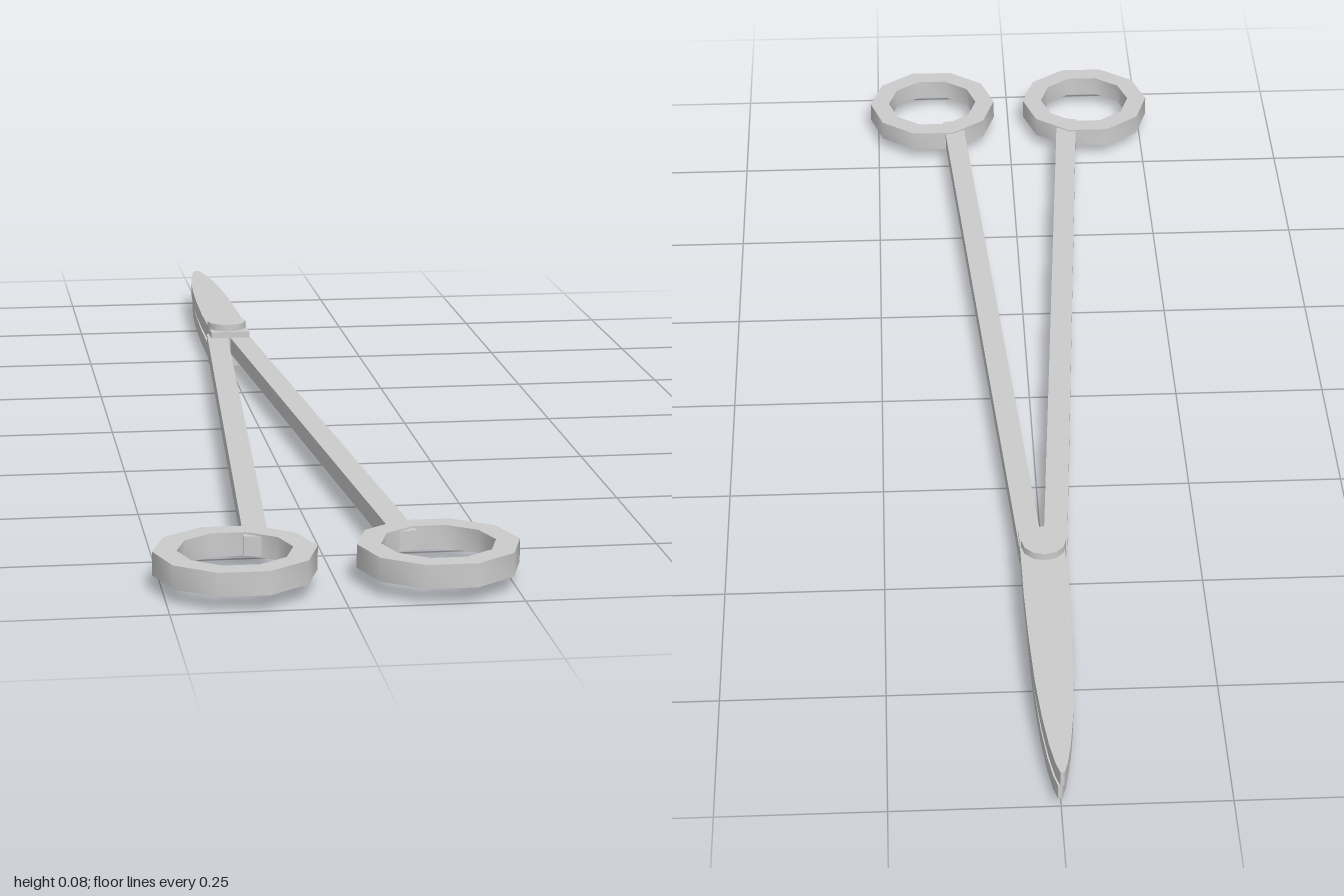
import * as THREE from 'three';
import { toCreasedNormals } from 'three/addons/utils/BufferGeometryUtils.js';

const material = new THREE.MeshStandardMaterial({ color: 0xcccccc });

// Extrudes an outline given in (x, z) upward from y0 to y1.
function slab(name, shape, y0, y1) {
  let g = new THREE.ExtrudeGeometry(shape, { depth: y1 - y0, bevelEnabled: false });
  g.rotateX(Math.PI / 2);
  g.translate(0, y1, 0);
  g = toCreasedNormals(g, 0.75);
  const mesh = new THREE.Mesh(g, material);
  mesh.name = name;
  return mesh;
}

const polygon = (points) => new THREE.Shape(points.map(([x, z]) => new THREE.Vector2(x, z)));

// Regular ten-sided outline with corners pointing along x
function decagon(cx, cz, r) {
  return Array.from({ length: 10 }, (_, i) => {
    const a = (i / 10) * Math.PI * 2;
    return [cx + r * Math.cos(a), cz + r * Math.sin(a)];
  });
}

// Half widths of the blade along its length: [z, half width]
const bladeProfile = [
  [-0.445, 0.035], [-0.6, 0.035], [-0.7, 0.033], [-0.8, 0.029],
  [-0.88, 0.023], [-0.94, 0.016], [-0.98, 0.009], [-1.0, 0.003],
];

function bladeShape(side) {
  // each blade leans slightly about the pivot, along with its own handle
  const lean = (z) => side * 0.007 * (z + 0.49);
  const shift = (z) => side * 0.002 + lean(z);
  const right = bladeProfile.map(([z, w]) => [shift(z) + w, z]);
  const left = bladeProfile.map(([z, w]) => [shift(z) - w, z]).reverse();
  return polygon([...right, ...left]);
}

function half(side, sideName) {
  const group = new THREE.Group();
  group.name = sideName + 'Half';

  // Blade: the two are stacked, one above the other
  const [y0, y1] = side > 0 ? [0.04, 0.066] : [0.015, 0.04];
  group.add(slab('blade', bladeShape(side), y0, y1));

  // Straight shank running from the pivot into the finger ring
  const shank = polygon([
    [side * 0.0, -0.48], [side * 0.037, -0.48],
    [side * 0.126, 0.82], [side * 0.09, 0.825],
  ]);
  group.add(slab('shank', shank, 0.026, 0.055));

  // Finger ring
  const ring = polygon(decagon(side * 0.146, 0.888, 0.118));
  ring.holes.push(polygon(decagon(side * 0.146, 0.888, 0.083)));
  group.add(slab('fingerRing', ring, 0.023, 0.058));
  return group;
}

export function createModel() {
  const model = new THREE.Group();
  model.name = 'scissors';
  model.add(half(1, 'left'), half(-1, 'right'));

  // Pivot pin with a head above and below the blades
  const pin = new THREE.Mesh(new THREE.CylinderGeometry(0.035, 0.035, 0.078, 12), material);
  pin.name = 'pivotPin';
  pin.position.set(0, 0.039, -0.485);
  model.add(pin);
  return model;
}
